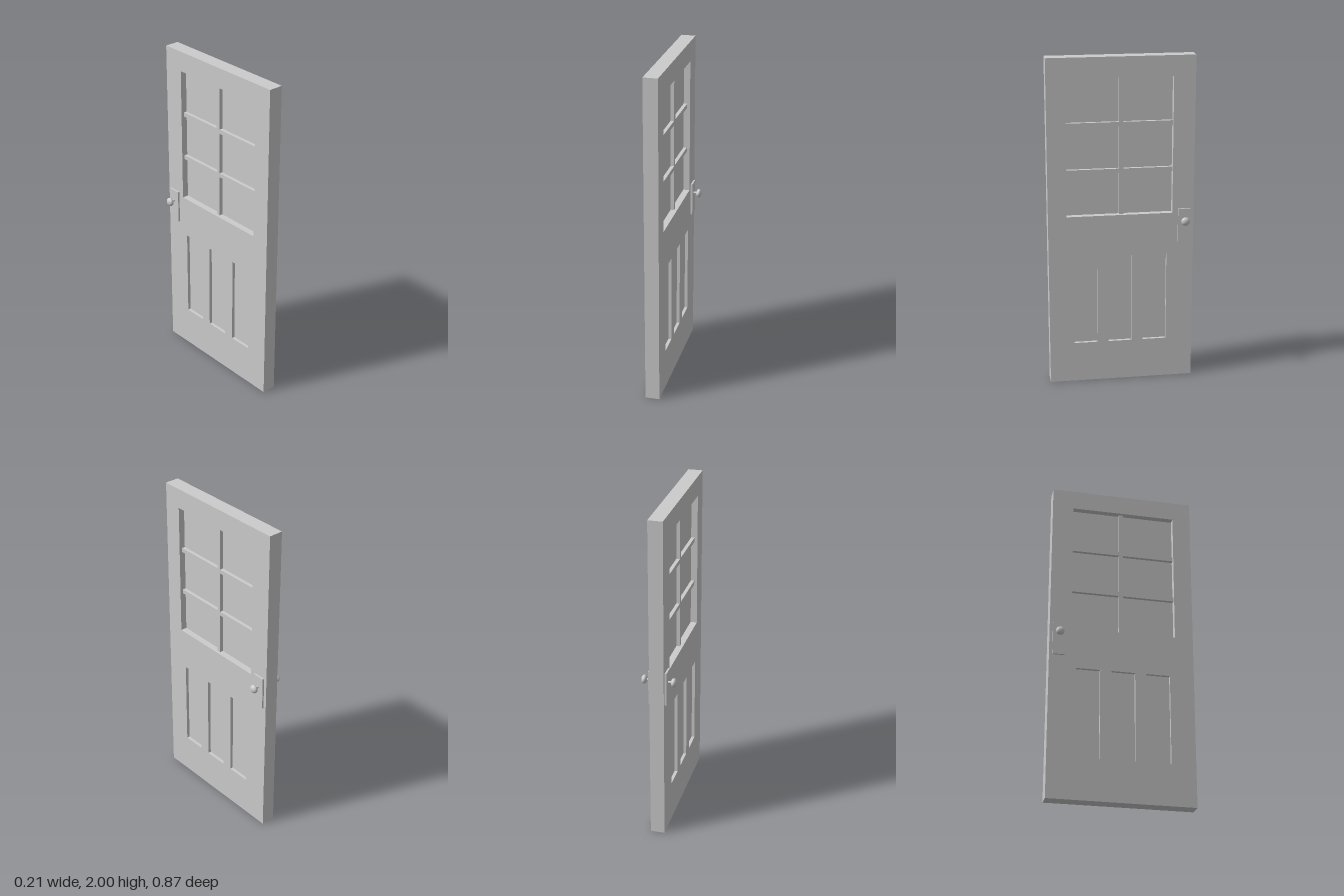
import * as THREE from 'three';

const material = new THREE.MeshStandardMaterial({ color: 0xcccccc });

// Box given by its half thickness in x and its y and z ranges
function slab(name, halfX, y0, y1, z0, z1) {
  const mesh = new THREE.Mesh(new THREE.BoxGeometry(2 * halfX, y1 - y0, z1 - z0), material);
  mesh.position.set(0, (y0 + y1) / 2, (z0 + z1) / 2);
  mesh.name = name;
  return mesh;
}

function rectangle(PathType, y0, y1, z0, z1) {
  const path = new PathType();
  path.moveTo(z0, y0);
  path.lineTo(z1, y0);
  path.lineTo(z1, y1);
  path.lineTo(z0, y1);
  path.closePath();
  return path;
}

export function createModel() {
  const door = new THREE.Group();
  door.name = 'door';
  const half = 0.043;
  const win = [1.055, 1.88, -0.308, 0.326];
  const panels = [-0.203, 0.007, 0.218].map(z => [0.25, 0.8, z - 0.072, z + 0.072]);

  // Door leaf with openings for the window and the lower panels
  const shape = rectangle(THREE.Shape, 0, 2, -0.437, 0.437);
  [win, ...panels].forEach(r => shape.holes.push(rectangle(THREE.Path, ...r)));
  const leafGeometry = new THREE.ExtrudeGeometry(shape, { depth: 2 * half, bevelEnabled: false });
  leafGeometry.translate(0, 0, -half).rotateY(-Math.PI / 2);
  const leaf = new THREE.Mesh(leafGeometry, material);
  leaf.name = 'leaf';
  door.add(leaf);

  // Recessed lower panels
  panels.forEach(r => door.add(slab('lowerPanel', 0.024, ...r)));

  // Window glass and glazing bars
  door.add(slab('glass', 0.004, ...win));
  door.add(slab('verticalBar', 0.025, win[0], win[1], -0.015, 0.01));
  for (const y of [1.322, 1.602]) {
    door.add(slab('horizontalBar', 0.025, y - 0.013, y + 0.013, win[2], win[3]));
  }

  // Lock plate, running through to both faces
  door.add(slab('lockPlate', 0.054, 0.875, 1.08, -0.418, -0.342));

  // Knob and spindle on each face
  for (const side of [-1, 1]) {
    const handle = new THREE.Group();
    handle.name = side > 0 ? 'leftHandle' : 'rightHandle';
    handle.position.set(0, 1.01, -0.38);

    const spindle = new THREE.Mesh(
      new THREE.CylinderGeometry(0.007, 0.007, 0.035, 16).rotateZ(Math.PI / 2), material);
    spindle.position.x = side * 0.064;
    spindle.name = 'spindle';

    const knob = new THREE.Mesh(
      new THREE.SphereGeometry(0.026, 24, 16).rotateZ(Math.PI / 2).scale(0.65, 1, 1), material);
    knob.position.x = side * 0.087;
    knob.name = 'knob';

    handle.add(spindle, knob);
    door.add(handle);
  }
  return door;
}
